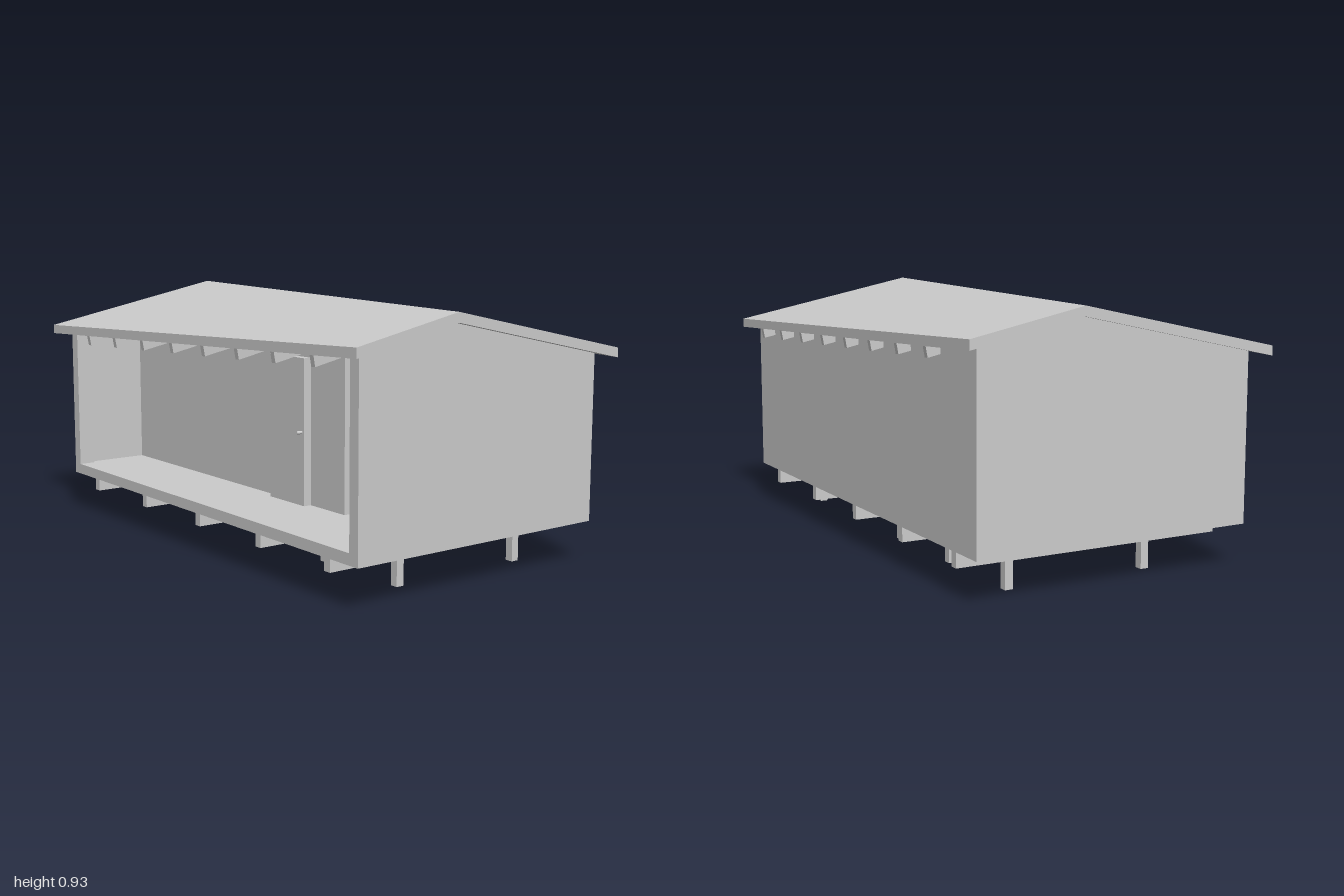
import * as THREE from 'three';

const SKEW = 0.172;   // the ridge runs diagonally: z = SKEW * x
const PITCH = 0.21;
const mat = new THREE.MeshStandardMaterial({ color: 0xcccccc, flatShading: true });

const roofTop = (x, z) => 0.925 - PITCH * Math.abs(z - SKEW * x);
const roofUnder = (x, z) => roofTop(x, z) - 0.034;

function add(parent, name, geometry) {
  const mesh = new THREE.Mesh(geometry, mat);
  mesh.name = name;
  parent.add(mesh);
  return mesh;
}

function box(parent, name, x0, x1, y0, y1, z0, z1) {
  const mesh = add(parent, name, new THREE.BoxGeometry(x1 - x0, y1 - y0, z1 - z0));
  mesh.position.set((x0 + x1) / 2, (y0 + y1) / 2, (z0 + z1) / 2);
  return mesh;
}

// Box whose top and bottom follow height functions, folded at the ridge
function fitted(parent, name, x0, x1, z0, z1, top, bottom, endInset = 0) {
  const box1 = new THREE.BoxGeometry(1, 1, 1, 1, 1, 2);
  const p = box1.attributes.position;
  for (let i = 0; i < p.count; i++) {
    const x = p.getX(i) < 0 ? x0 : x1;
    const t = p.getZ(i), isTop = p.getY(i) > 0;
    const ridge = SKEW * x;
    const mid = ridge > z0 && ridge < z1 ? ridge : (z0 + z1) / 2;
    const z = Math.abs(t) < 0.1 ? mid : t < 0 ? z0 : z1;
    const y = isTop ? top(x, z) : bottom(x, z);
    const inset = isTop || Math.abs(t) < 0.1 ? 0 : -Math.sign(t) * endInset;
    p.setXYZ(i, x, y, z + inset);
  }
  const geometry = box1.toNonIndexed();
  geometry.computeVertexNormals();
  return add(parent, name, geometry);
}

export function createModel() {
  const model = new THREE.Group();
  model.name = 'cabin';

  // Roof with a skewed ridge
  fitted(model, 'roof', -1, 1, -0.58, 0.58, roofTop, roofUnder);

  // Rafters running front to back under the roof
  const rafters = new THREE.Group();
  rafters.name = 'rafters';
  model.add(rafters);
  for (let i = 0; i < 8; i++) {
    const x = -0.7 + i * 0.2107;
    fitted(rafters, 'rafter', x - 0.01, x + 0.01, -0.577, 0.577,
      roofUnder, (a, z) => roofUnder(a, z) - 0.038, 0.007);
  }

  // Floor and walls, each wall rising to the roof
  box(model, 'floor', -0.943, 0.943, 0.15, 0.19, -0.525, 0.525);
  const wall = (name, x0, x1, z0, z1) =>
    fitted(model, name, x0, x1, z0, z1, roofUnder, () => 0.19);
  wall('backWall', -0.943, 0.943, -0.525, -0.5);
  for (const s of [-1, 1]) {
    const span = (a, b) => (s > 0 ? [a, b] : [-b, -a]);
    wall('sideWall', ...span(0.922, 0.943), -0.5, 0.525);
    wall('frontPost', ...span(0.9, 0.922), 0.46, 0.525);
  }

  // Enclosed room behind the porch
  wall('porchWall', -0.922, 0.49, 0.195, 0.22);
  wall('roomSideWall', 0.465, 0.49, -0.5, 0.195);

  // Door and knob
  box(model, 'door', 0.087, 0.295, 0.19, 0.722, 0.215, 0.25);
  const knob = add(model, 'doorKnob', new THREE.CylinderGeometry(0.006, 0.006, 0.025, 12));
  knob.rotation.x = Math.PI / 2;
  knob.position.set(0.28, 0.456, 0.26);

  // Floor bearers, each on two posts
  for (let i = 0; i < 5; i++) {
    const x = -0.79 + i * 0.388;
    const row = new THREE.Group();
    row.name = 'foundationRow';
    model.add(row);
    box(row, 'bearer', x - 0.015, x + 0.015, 0.096, 0.15, -0.522, 0.505);
    for (const z of [0.21, -0.328]) {
      box(row, 'post', x - 0.015, x + 0.015, 0, 0.096, z - 0.015, z + 0.015);
    }
  }
  return model;
}
